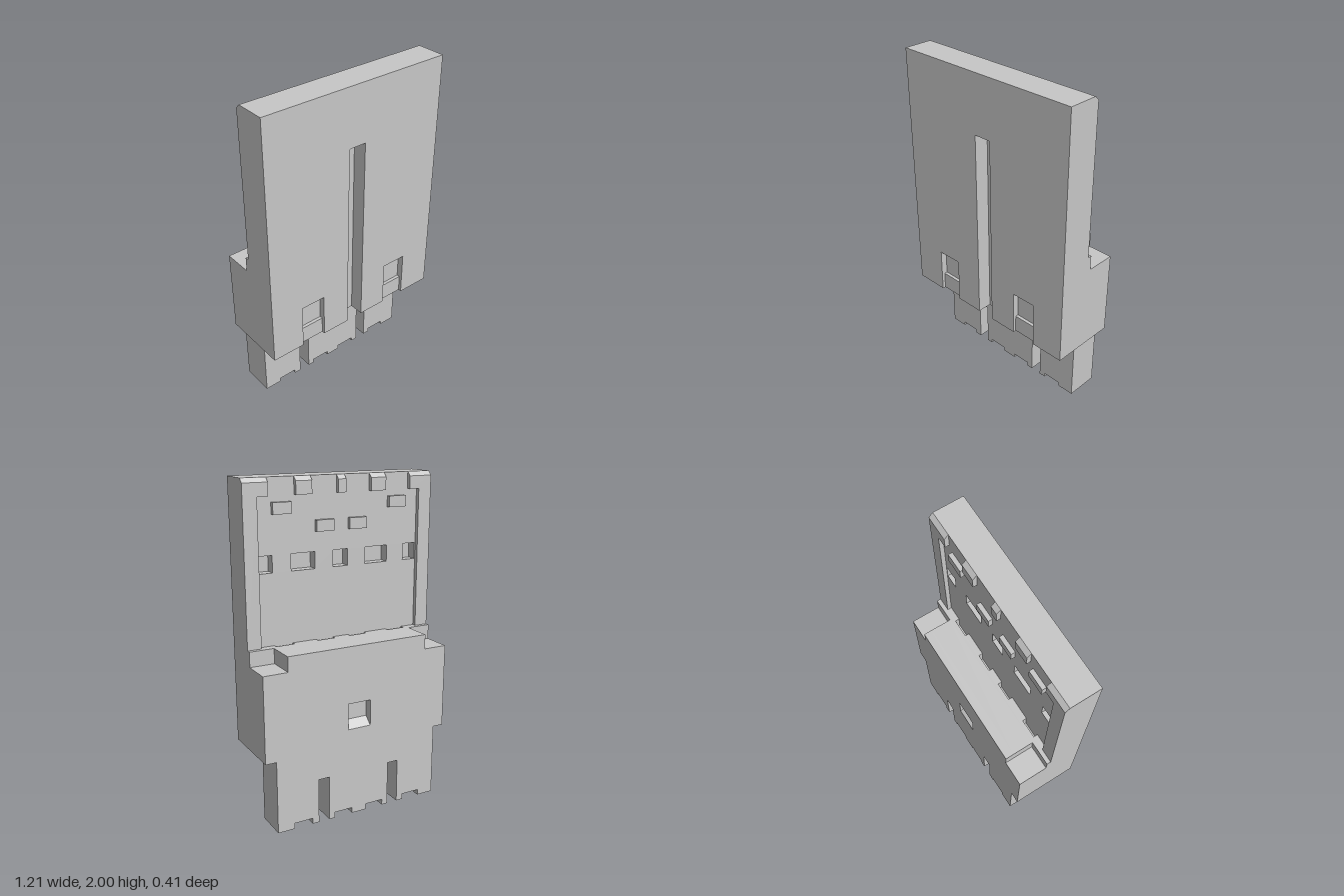
import * as THREE from 'three';

const grey = new THREE.MeshStandardMaterial({ color: 0xc7c7c7 });
grey.name = 'light grey plastic';

export function createModel() {
  const model = new THREE.Group();
  model.name = 'connectorHousing';

  const add = (name, geometry) => {
    const mesh = new THREE.Mesh(geometry, grey);
    mesh.name = name;
    model.add(mesh);
    return mesh;
  };
  const outline = pts => new THREE.Shape(pts.map(p => new THREE.Vector2(...p)));
  const rect = (x0, x1, y0, y1) => [[x0, y0], [x1, y0], [x1, y1], [x0, y1]];

  // Plate cut in the xy plane, running from z0 to z1
  function plate(name, pts, holes, z0, z1) {
    const shape = outline(pts);
    holes.forEach(h => shape.holes.push(outline(h)));
    const g = new THREE.ExtrudeGeometry(shape, { depth: z1 - z0, bevelEnabled: false });
    return add(name, g.translate(0, 0, z0));
  }
  // Bar with a (z, y) profile, running from x0 to x1
  function bar(name, profile, x0, x1) {
    const g = new THREE.ExtrudeGeometry(outline(profile), { depth: x1 - x0, bevelEnabled: false });
    return add(name, g.rotateY(-Math.PI / 2).translate(x1, 0, 0));
  }
  function box(name, x0, x1, y0, y1, z0, z1) {
    const g = new THREE.BoxGeometry(x1 - x0, y1 - y0, z1 - z0);
    return add(name, g.translate((x0 + x1) / 2, (y0 + y1) / 2, (z0 + z1) / 2));
  }
  // Outline with notches [x0, x1, height] cut up from the bottom edge
  function notched(w, y0, y1, notches) {
    const pts = [[-w, y0]];
    notches.forEach(([a, b, h]) => pts.push([a, y0], [a, h], [b, h], [b, y0]));
    return pts.concat([[w, y0], [w, y1], [-w, y1]]);
  }

  const W = 0.605, BASE = 0.447, LEDGE = 1.057, SHOULDER = 0.967, TOP = 2;

  // Front panel in layers: centre groove, stepped windows, rear pockets
  const groove = [-0.055, 0.055, 1.643];
  plate('frontSkin', notched(W, BASE, TOP,
    [[-0.395, -0.237, 0.727], groove, [0.237, 0.395, 0.727]]), [], 0.185, 0.205);
  plate('windowLayer', notched(W, BASE, TOP, [groove]),
    [rect(-0.395, -0.237, 0.555, 0.727), rect(0.237, 0.395, 0.555, 0.727)], 0.165, 0.185);
  plate('grooveLayer', notched(W, BASE, TOP, [groove]), [], 0.115, 0.165);
  plate('panelCore', rect(-W, W, BASE, TOP), [], 0.085, 0.115);
  const pockets = [[-0.515, -0.43], [-0.315, -0.165], [-0.048, 0.048], [0.165, 0.315], [0.43, 0.515]];
  plate('pocketLayer', rect(-W, W, BASE, TOP),
    pockets.map(([a, b]) => rect(a, b, 1.477, 1.575)), 0.025, 0.085);

  // Chamfered tabs along the top of the rear face
  const tab = [[0.025, 1.9], [0.025, TOP], [0, 1.975], [0, 1.9]];
  [[-W, -0.455], [-0.29, -0.19], [-0.025, 0.025], [0.19, 0.29], [0.455, W]]
    .forEach(([a, b]) => bar('topTab', tab, a, b));

  for (const s of [-1, 1]) {
    const span = (a, b) => s > 0 ? [a, b] : [-b, -a];
    box('sideRail', ...span(0.52, W), LEDGE, 1.9, 0, 0.025);
    // Retaining lugs, outer ones higher
    box('outerLug', ...span(0.315, 0.43), 1.8, 1.865, 0, 0.025);
    box('innerLug', ...span(0.05, 0.163), 1.69, 1.755, 0, 0.025);
  }

  // Rear body: slotted seam, full layer, shouldered layers
  const slots = [[0.43, 0.315], [0.163, 0.05], [-0.05, -0.163], [-0.315, -0.43]];
  const seam = [[-W, BASE], [W, BASE], [W, LEDGE]];
  slots.forEach(([a, b]) => seam.push([a, LEDGE], [a, 0.97], [b, 0.97], [b, LEDGE]));
  seam.push([-W, LEDGE]);
  plate('ledgeSeam', seam, [], 0, 0.025);
  plate('bodyFront', rect(-W, W, BASE, LEDGE), [], -0.025, 0);
  const shouldered = [[-W, BASE], [W, BASE], [W, SHOULDER], [0.455, SHOULDER],
    [0.455, LEDGE], [-0.455, LEDGE], [-0.455, SHOULDER], [-W, SHOULDER]];
  plate('bodyMiddle', shouldered, [], -0.155, -0.025);
  plate('bodyBack', shouldered, [rect(-0.075, 0.075, 0.55, 0.71)], -0.205, -0.155);
  bar('latchRamp', [[-0.205, 0.55], [-0.155, 0.55], [-0.155, 0.595]], -0.075, 0.075);

  // Lower tongue with two through slots and shallow mouths
  const tongue = h => notched(0.538, 0, BASE, [[-0.432, -0.315, h], [-0.272, -0.203, 0.276],
    [-0.165, -0.047, h], [0.047, 0.165, h], [0.203, 0.272, 0.276], [0.315, 0.432, h]]);
  plate('tongueFront', tongue(0.025), [], -0.105, -0.005);
  plate('tongueBack', tongue(0.035), [], -0.205, -0.105);

  return model;
}
